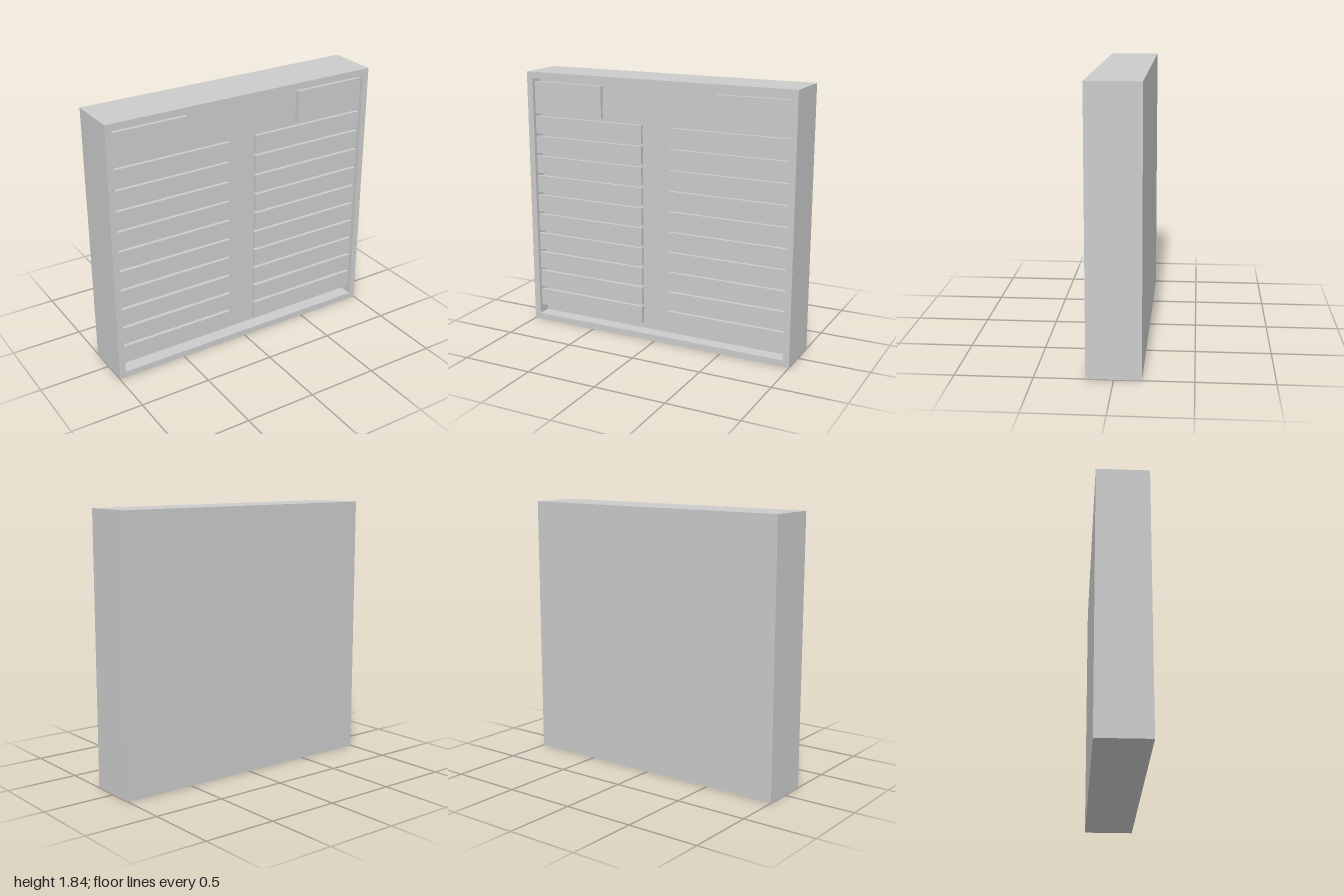
import * as THREE from 'three';

const W = 2, H = 1.84, D = 0.35;       // outer size
const IN_X = 0.955, IN_Y0 = 0.045, IN_Y1 = 1.795; // recess opening
const RECESS = 0.095;                  // recess depth
const FRONT = D / 2;
const PLATE_Z = FRONT - 0.025, PLATE_T = 0.025; // slat front plane and thickness

export function createModel() {
  const group = new THREE.Group();
  const material = new THREE.MeshStandardMaterial({ color: 0xcccccc });

  function add(name, geometry, x, y, z) {
    const mesh = new THREE.Mesh(geometry, material);
    mesh.name = name;
    mesh.position.set(x, y, z);
    group.add(mesh);
  }

  // thin plate given by its edges, set just behind the rim
  function plate(name, x0, x1, y0, y1) {
    add(name, new THREE.BoxGeometry(x1 - x0, y1 - y0, PLATE_T),
      (x0 + x1) / 2, (y0 + y1) / 2, PLATE_Z - PLATE_T / 2);
  }

  // solid back of the case
  add('caseBack', new THREE.BoxGeometry(W, H, D - RECESS), 0, H / 2, -RECESS / 2);

  // rim around the recess
  const rim = new THREE.Shape([
    new THREE.Vector2(-W / 2, 0), new THREE.Vector2(W / 2, 0),
    new THREE.Vector2(W / 2, H), new THREE.Vector2(-W / 2, H),
  ]);
  rim.holes.push(new THREE.Path([
    new THREE.Vector2(-IN_X, IN_Y0), new THREE.Vector2(-IN_X, IN_Y1),
    new THREE.Vector2(IN_X, IN_Y1), new THREE.Vector2(IN_X, IN_Y0),
  ]));
  add('rim', new THREE.ExtrudeGeometry(rim, { depth: RECESS, bevelEnabled: false }),
    0, 0, FRONT - RECESS);

  // two columns of ten slats
  for (let i = 0; i < 10; i++) {
    const y = 0.107 + i * 0.1438;
    plate('rightSlat' + (i + 1), -IN_X, -0.11, y, y + 0.123);
    plate('leftSlat' + (i + 1), 0.097, IN_X, y, y + 0.123);
  }

  // larger plates in the upper corners
  plate('rightTopPlate', -IN_X, -0.42, 1.545, 1.77);
  plate('leftTopPlate', 0.43, IN_X, 1.545, 1.77);

  return group;
}
